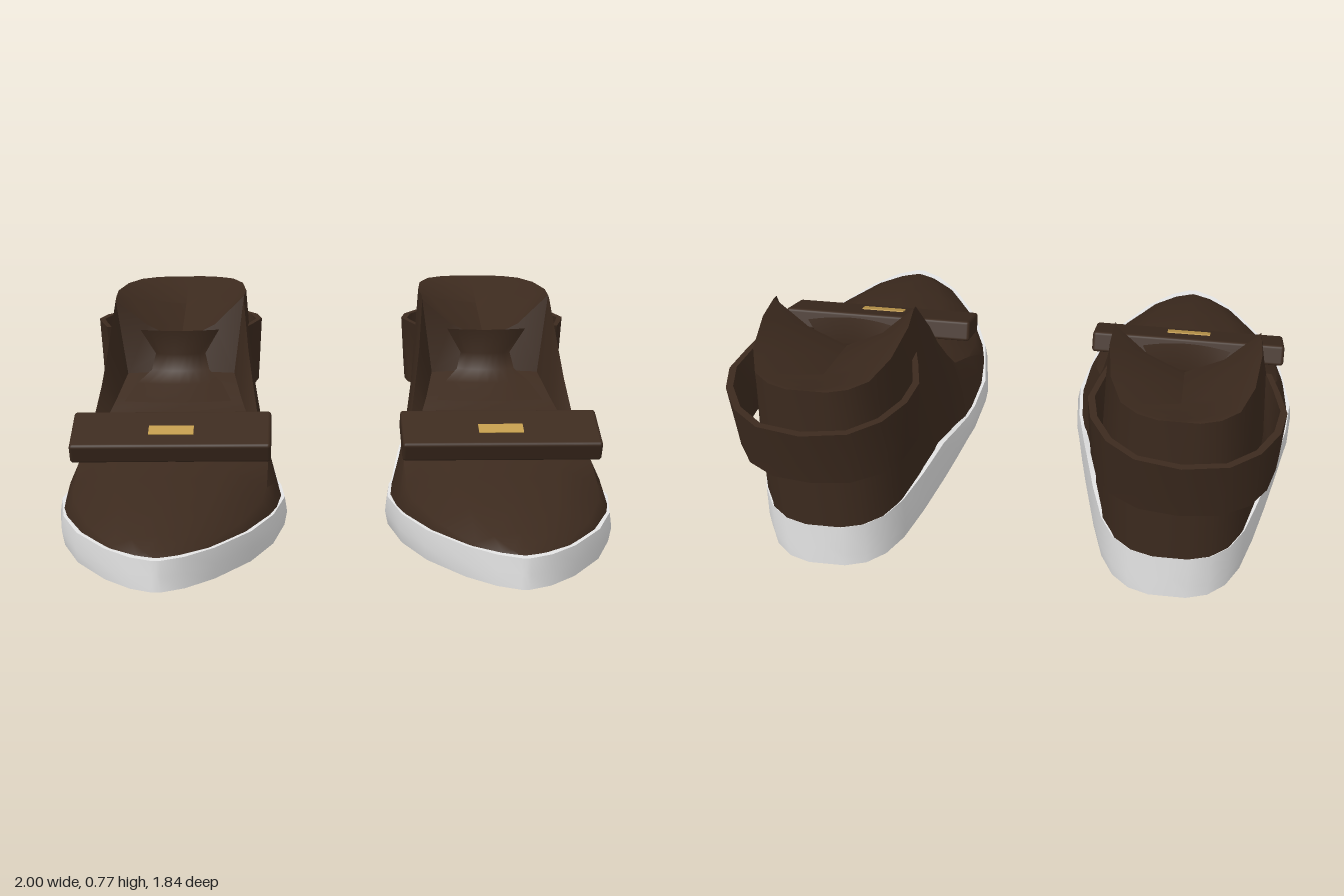
import * as THREE from 'three';
import { toCreasedNormals } from 'three/addons/utils/BufferGeometryUtils.js';
import { RoundedBoxGeometry } from 'three/addons/geometries/RoundedBoxGeometry.js';

// Skin closed rings of [x, y, z] points, with capped ends.
function loft(rings, crease = 0.6) {
  const n = rings[0].length, pos = [], index = [];
  rings.forEach(r => r.forEach(p => pos.push(...p)));
  for (let i = 0; i < rings.length - 1; i++) {
    for (let j = 0; j < n; j++) {
      const a = i * n + j, b = i * n + (j + 1) % n;
      index.push(a, a + n, b, b, a + n, b + n);
    }
  }
  [0, rings.length - 1].forEach((r, end) => {
    const c = pos.length / 3;
    pos.push(...[0, 1, 2].map(k => rings[r].reduce((s, p) => s + p[k], 0) / n));
    for (let j = 0; j < n; j++) {
      const a = r * n + j, b = r * n + (j + 1) % n;
      index.push(c, end ? b : a, end ? a : b);
    }
  });
  const g = new THREE.BufferGeometry();
  g.setAttribute('position', new THREE.Float32BufferAttribute(pos, 3));
  g.setIndex(index);
  return toCreasedNormals(g, crease);
}

// Mirror a half section (from +x bottom to the centre line) into a full ring.
function mirrored(half) {
  const other = half.slice(0, -1).reverse().map(([x, y, z]) => [-x, y, z]);
  return [...half, ...other];
}

// Sole: z, half width
const SOLE = [
  [0.915, 0.015], [0.875, 0.09], [0.78, 0.183], [0.6, 0.298], [0.4, 0.372], [0.17, 0.41],
  [0, 0.395], [-0.07, 0.38], [-0.2, 0.355], [-0.32, 0.33], [-0.5, 0.288],
  [-0.65, 0.245], [-0.74, 0.198], [-0.795, 0.138], [-0.82, 0.065],
];
function soleGeometry() {
  return loft(SOLE.map(([z, w]) => {
    const t = THREE.MathUtils.clamp((-0.07 - z) / 0.25, 0, 1);
    const top = 0.105 + 0.07 * t;
    return mirrored([[w * 0.975, 0, z], [w, 0.05, z], [w * (0.98 + 0.015 * t), top, z], [0, top, z]]);
  }));
}

// Upper: z, base half width, edge x, edge y, inner x, inner y, centre y
const UPPER = [
  [0.885, 0.02, 0.018, 0.102, 0.01, 0.104, 0.106],
  [0.855, 0.08, 0.07, 0.107, 0.04, 0.115, 0.119],
  [0.78, 0.166, 0.15, 0.113, 0.09, 0.136, 0.146],
  [0.6, 0.28, 0.255, 0.13, 0.15, 0.183, 0.2],
  [0.4, 0.357, 0.325, 0.155, 0.19, 0.222, 0.24],
  [0.3, 0.38, 0.34, 0.175, 0.2, 0.24, 0.258],
  [0.15, 0.393, 0.342, 0.225, 0.23, 0.28, 0.295],
  [0, 0.38, 0.315, 0.3, 0.285, 0.3, 0.335],
  [-0.05, 0.368, 0.3, 0.365, 0.275, 0.325, 0.355],
  [-0.13, 0.35, 0.28, 0.48, 0.25, 0.37, 0.39],
  [-0.18, 0.34, 0.265, 0.58, 0.235, 0.4, 0.42],
  [-0.31, 0.317, 0.245, 0.755, 0.205, 0.47, 0.48],
  [-0.34, 0.31, 0.245, 0.766, 0.13, 0.655, 0.59],
  [-0.46, 0.284, 0.25, 0.772, 0.2, 0.74, 0.63],
  [-0.65, 0.238, 0.23, 0.775, 0.19, 0.76, 0.69],
  [-0.74, 0.19, 0.187, 0.775, 0.15, 0.768, 0.74],
  [-0.792, 0.13, 0.13, 0.775, 0.09, 0.773, 0.765],
  [-0.815, 0.06, 0.065, 0.775, 0.03, 0.775, 0.775],
];
function upperGeometry() {
  return loft(UPPER.map(([z, wb, we, ye, wi, yi, yc]) => {
    const lean = y => z - (z < -0.7 ? 0.04 * Math.max(0, y - 0.2) / 0.57 : 0);
    const ym = (0.09 + ye) / 2;
    return mirrored([
      [wb, 0.09, z], [(wb + we) / 2 + 0.006, ym, lean(ym)], [we, ye, lean(ye)],
      [wi, yi, lean(yi)], [0, yc, lean(yc)],
    ]);
  }));
}

// Tongue: flared sheet, rows of half width, y, z
function tongueGeometry() {
  const rows = [
    [0.2, 0.4, -0.12], [0.16, 0.45, -0.22], [0.11, 0.49, -0.28], [0.095, 0.55, -0.3], [0.15, 0.645, -0.28],
  ];
  const g = new THREE.PlaneGeometry(2, 1, 8, rows.length - 1);
  const p = g.attributes.position;
  for (let i = 0; i < p.count; i++) {
    const [w, y, z] = rows[rows.length - 1 - Math.floor(i / 9)];
    const u = p.getX(i);
    p.setXYZ(i, u * w, y, z + 0.03 * (1 - u * u));
  }
  g.computeVertexNormals();
  return g;
}

// Ankle strap: bottom, middle and top paths as [x, z] from the front end to the heel
const STRAP = [
  { y: 0.395, path: [[0.28, -0.45], [0.3, -0.5], [0.31, -0.58], [0.282, -0.69], [0.225, -0.78], [0.13, -0.84], [0, -0.857]] },
  { y: 0.47, path: [[0.28, -0.485], [0.3, -0.53], [0.315, -0.59], [0.29, -0.69], [0.235, -0.785], [0.14, -0.855], [0, -0.875]] },
  { y: 0.64, path: [[0.272, -0.38], [0.3, -0.48], [0.325, -0.59], [0.305, -0.7], [0.245, -0.81], [0.15, -0.89], [0, -0.92]] },
];
function strapGeometry() {
  const half = STRAP[0].path.map((_, i) => {
    const outer = STRAP.map(({ y, path }) => [path[i][0], y, path[i][1]]);
    const inner = outer.map(([x, y, z]) => [x * 0.93, y, z + 0.025 * (i / 6)]).reverse();
    return [...outer, ...inner];
  });
  // The far half keeps the ring order running round the section
  const rest = half.slice(0, -1).reverse().map(r => r.map(([x, y, z]) => [-x, y, z]));
  return loft([...half, ...rest]);
}

export function createModel() {
  const leather = new THREE.MeshStandardMaterial({ color: 0x3c2a1e, side: THREE.DoubleSide });
  leather.name = 'brown leather';
  const rubber = new THREE.MeshStandardMaterial({ color: 0xe4e4e4 });
  rubber.name = 'white rubber';
  const brass = new THREE.MeshStandardMaterial({ color: 0xc09a4c });
  brass.name = 'brass';

  const shapes = {
    sole: [soleGeometry(), rubber],
    upper: [upperGeometry(), leather],
    tongue: [tongueGeometry(), leather],
  };
  const strap = strapGeometry();
  const barGeometry = new RoundedBoxGeometry(0.71, 0.076, 0.21, 2, 0.012);
  const plateGeometry = new THREE.BoxGeometry(0.16, 0.006, 0.05);

  function add(parent, name, geometry, material) {
    const mesh = new THREE.Mesh(geometry, material);
    mesh.name = name;
    parent.add(mesh);
    return mesh;
  }

  const model = new THREE.Group();
  model.name = 'pair of shoes';
  for (const side of [1, -1]) {
    const shoe = new THREE.Group();
    shoe.name = side > 0 ? 'leftShoe' : 'rightShoe';
    shoe.position.x = side * 0.588;
    for (const [name, [geometry, material]] of Object.entries(shapes)) add(shoe, name, geometry, material);

    // Strap sits slightly towards the outside of the foot
    add(shoe, 'ankleStrap', strap, leather).position.x = side * 0.018;

    // Tilted bar across the instep with a small metal plate
    const bar = new THREE.Group();
    bar.name = 'instepBar';
    bar.position.set(0, 0.336, 0.192);
    bar.rotation.x = 0.42;
    add(bar, 'bar', barGeometry, leather);
    add(bar, 'plate', plateGeometry, brass).position.set(0, 0.039, 0.014);
    shoe.add(bar);
    model.add(shoe);
  }
  return model;
}
